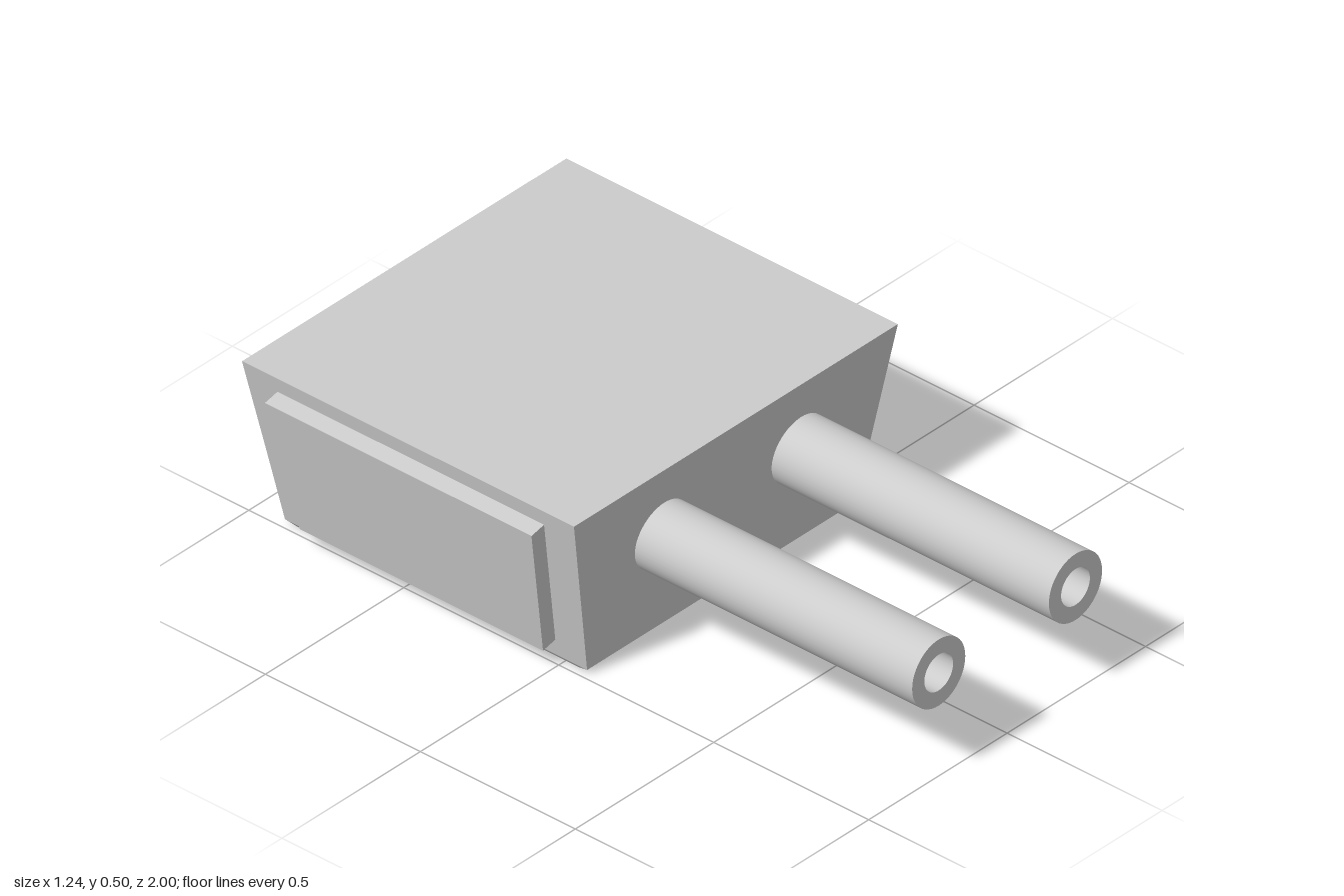
import * as THREE from 'three';

// Flat-faced solid through four-cornered rings, counterclockwise seen from the last ring
function loft(rings) {
  const pos = [];
  const quad = (a, b, c, d) => [a, b, c, a, c, d].forEach((p) => pos.push(...p));
  for (let r = 0; r < rings.length - 1; r++) {
    for (let i = 0; i < 4; i++) {
      const j = (i + 1) % 4;
      quad(rings[r][i], rings[r][j], rings[r + 1][j], rings[r + 1][i]);
    }
  }
  quad(...rings[0].slice().reverse());
  quad(...rings[rings.length - 1]);
  const geometry = new THREE.BufferGeometry();
  geometry.setAttribute('position', new THREE.Float32BufferAttribute(pos, 3));
  geometry.computeVertexNormals();
  return geometry;
}

const mirrorRing = (ring) => ring.map(([x, y, z]) => [-x, y, z]).reverse();

export function createModel() {
  const model = new THREE.Group();
  model.name = 'twinTubeBlock';
  const material = new THREE.MeshStandardMaterial({ color: 0xcccccc });
  const add = (name, geometry) => {
    const mesh = new THREE.Mesh(geometry, material);
    mesh.name = name;
    model.add(mesh);
    return mesh;
  };

  // Tapered body with a narrow bevel around the base
  const level = (x, y, front, back) => [[-x, y, front], [x, y, front], [x, y, back], [-x, y, back]];
  add('body', loft([
    level(0.475, 0, 0.04, -0.865),
    level(0.485, 0.013, 0.078, -0.897),
    level(0.585, 0.5, 0.125, -0.945),
  ]));

  // Raised panels on both sloping sides
  const sideRing = (xLow, yLow, xHigh, yHigh) => [
    [xLow, yLow, -0.015], [xLow, yLow, -0.8], [xHigh, yHigh, -0.84], [xHigh, yHigh, 0.02],
  ];
  const sideRings = [sideRing(0.49, 0.066, 0.57, 0.455), sideRing(0.54, 0.055, 0.621, 0.444)];
  add('leftPanel', loft(sideRings));
  add('rightPanel', loft(sideRings.map(mirrorRing)));

  // Raised panel on the back
  const backRing = (yLow, zLow, yHigh, zHigh) => [
    [0.445, yLow, zLow], [-0.445, yLow, zLow], [-0.525, yHigh, zHigh], [0.525, yHigh, zHigh],
  ];
  add('backPanel', loft([
    backRing(0.066, -0.895, 0.452, -0.935),
    backRing(0.058, -0.96, 0.445, -1),
  ]));

  // Hollow tubes; each straight run is its own surface so the rims stay sharp
  const outer = 0.096, bore = 0.052, start = 0.08, end = 1;
  const runs = {
    Wall: [[outer, start], [outer, end]],
    Rim: [[outer, end], [bore, end]],
    Bore: [[bore, end], [bore, start]],
  };
  for (const [side, x] of [['left', 0.247], ['right', -0.247]]) {
    for (const [part, run] of Object.entries(runs)) {
      const points = run.map(([r, z]) => new THREE.Vector2(r, z));
      const geometry = new THREE.LatheGeometry(points, 48);
      geometry.rotateX(Math.PI / 2);
      add(side + 'Tube' + part, geometry).position.set(x, 0.3, 0);
    }
  }

  return model;
}
